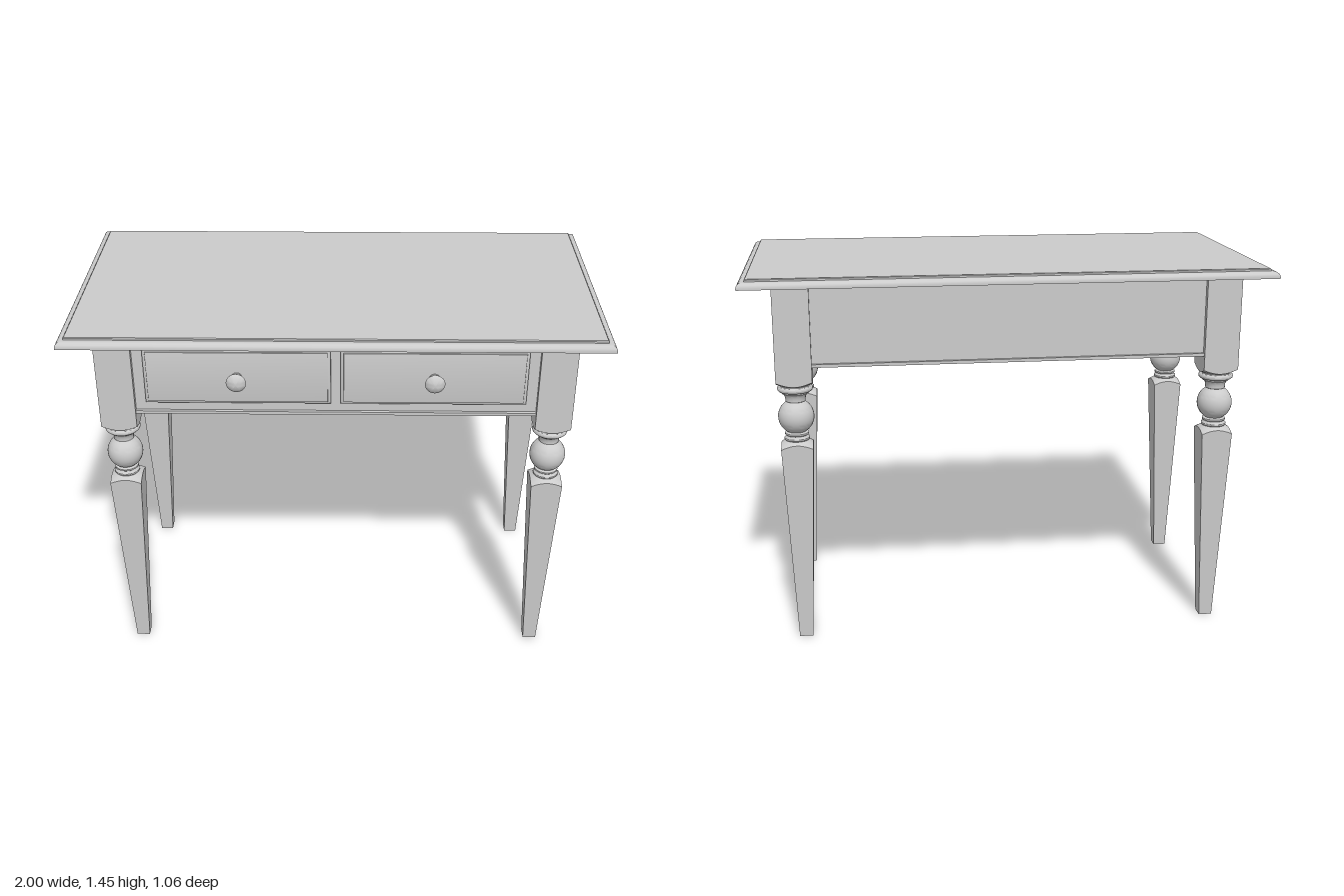
import * as THREE from 'three';
import { toCreasedNormals } from 'three/addons/utils/BufferGeometryUtils.js';

const material = new THREE.MeshStandardMaterial({ color: 0xcccccc });
const CREASE = 0.5;

function add(parent, name, geometry, x = 0, y = 0, z = 0) {
  const mesh = new THREE.Mesh(geometry, material);
  mesh.name = name;
  mesh.position.set(x, y, z);
  parent.add(mesh);
  return mesh;
}

// Skin a stack of rings (bottom to top) and close both ends
function loft(rings) {
  const n = rings[0].length;
  const pos = rings.flat(2);
  const index = [];
  for (let i = 0; i < rings.length - 1; i++) {
    for (let j = 0; j < n; j++) {
      const a = i * n + j, b = i * n + (j + 1) % n;
      index.push(a, b, b + n, a, b + n, a + n);
    }
  }
  const last = (rings.length - 1) * n;
  for (let j = 1; j < n - 1; j++) {
    index.push(0, j + 1, j, last, last + j, last + j + 1);
  }
  const g = new THREE.BufferGeometry();
  g.setAttribute('position', new THREE.Float32BufferAttribute(pos, 3));
  g.setIndex(index);
  return toCreasedNormals(g, CREASE);
}

const rectRing = (hx, hz, y) => [[hx, y, hz], [hx, y, -hz], [-hx, y, -hz], [-hx, y, hz]];

// Round or square ring; lift raises the corners of a square one
function legRing(size, y, square, lift = 0) {
  const ring = [];
  for (let i = 0; i < 40; i++) {
    const a = i / 40 * Math.PI * 2, c = Math.cos(a), s = Math.sin(a);
    const r = square ? size / Math.max(Math.abs(c), Math.abs(s)) : size;
    ring.push([r * c, y + (r - size) * lift, -r * s]);
  }
  return ring;
}

function lathe(points, segments = 40) {
  return toCreasedNormals(new THREE.LatheGeometry(points.map(p => new THREE.Vector2(...p)), segments), CREASE);
}

// Table top with a step and a quarter-round edge
function tableTop() {
  const rings = [rectRing(1, 0.53, 1.415), rectRing(1, 0.53, 1.421)];
  for (let i = 1; i <= 6; i++) {
    const a = i / 6 * Math.PI / 2;
    const inset = 0.022 * (1 - Math.cos(a));
    rings.push(rectRing(1 - inset, 0.53 - inset, 1.421 + 0.02 * Math.sin(a)));
  }
  rings.push(rectRing(0.972, 0.502, 1.441), rectRing(0.972, 0.502, 1.447), rectRing(0.969, 0.499, 1.45));
  return loft(rings);
}

// Turned section: bead, ball, cove and collar
function turning() {
  const pts = [[0.043, 0.8], [0.044, 0.812], [0.048, 0.817], [0.048, 0.823], [0.042, 0.828],
    [0.04, 0.832], [0.045, 0.836], [0.045, 0.842], [0.038, 0.845]];
  for (let i = 0; i <= 16; i++) {
    const a = -1.05 + i / 16 * 2.1;
    pts.push([0.068 * Math.cos(a), 0.905 + 0.068 * Math.sin(a)]);
  }
  pts.push([0.038, 0.966], [0.038, 0.972], [0.039, 0.982], [0.043, 0.991], [0.052, 0.998], [0.052, 1.003]);
  for (let i = 0; i <= 6; i++) {
    const a = -Math.PI / 2 + i / 6 * Math.PI;
    pts.push([0.056 + 0.011 * Math.cos(a), 1.015 + 0.011 * Math.sin(a)]);
  }
  pts.push([0.053, 1.032]);
  return lathe(pts);
}

export function createModel() {
  const table = new THREE.Group();
  table.name = 'table';
  add(table, 'tableTop', tableTop());

  // Legs
  const block = loft([legRing(0.053, 1.027), legRing(0.0675, 1.033, true, 0.6), legRing(0.0675, 1.416, true)]);
  const turned = turning();
  const taper = loft([legRing(0.026, 0, true), legRing(0.06, 0.803, true, -0.6), legRing(0.044, 0.814)]);
  for (const sx of [-1, 1]) {
    for (const sz of [-1, 1]) {
      const leg = new THREE.Group();
      leg.name = (sz > 0 ? 'front' : 'back') + (sx > 0 ? 'Left' : 'Right') + 'Leg';
      leg.position.set(sx * 0.815, 0, sz * 0.383);
      add(leg, 'legBlock', block);
      add(leg, 'legTurning', turned);
      add(leg, 'legTaper', taper);
      table.add(leg);
    }
  }

  // Aprons with a thin lip along the lower edge
  for (const s of [-1, 1]) {
    const end = s > 0 ? 'front' : 'back', side = s > 0 ? 'left' : 'right';
    add(table, end + 'Apron', new THREE.BoxGeometry(1.52, 0.303, 0.03), 0, 1.2645, s * 0.415);
    add(table, end + 'Lip', new THREE.BoxGeometry(1.52, 0.012, 0.045), 0, 1.11, s * 0.42);
    add(table, side + 'Apron', new THREE.BoxGeometry(0.03, 0.303, 0.66), s * 0.847, 1.2645, 0);
    add(table, side + 'Lip', new THREE.BoxGeometry(0.045, 0.012, 0.66), s * 0.852, 1.11, 0);
  }

  // Drawers with bevelled fronts and turned knobs
  const front = loft([
    rectRing(0.344, 0.113, 0), rectRing(0.344, 0.113, 0.015),
    rectRing(0.339, 0.108, 0.02), rectRing(0.333, 0.102, 0.022), rectRing(0.332, 0.101, 0.026)
  ]).rotateX(Math.PI / 2);
  const knob = lathe([[0.02, 0], [0.02, 0.004], [0.014, 0.01], [0.012, 0.018], [0.015, 0.026], [0.026, 0.032],
    [0.035, 0.037], [0.037, 0.042], [0.034, 0.047], [0.024, 0.054], [0.012, 0.059], [0, 0.061]], 28).rotateX(Math.PI / 2);
  for (const s of [-1, 1]) {
    const drawer = new THREE.Group();
    drawer.name = (s > 0 ? 'left' : 'right') + 'Drawer';
    drawer.position.set(s * 0.362, 1.267, 0.429);
    add(drawer, 'drawerFront', front);
    add(drawer, 'knob', knob, 0, 0, 0.026);
    table.add(drawer);
  }
  return table;
}
